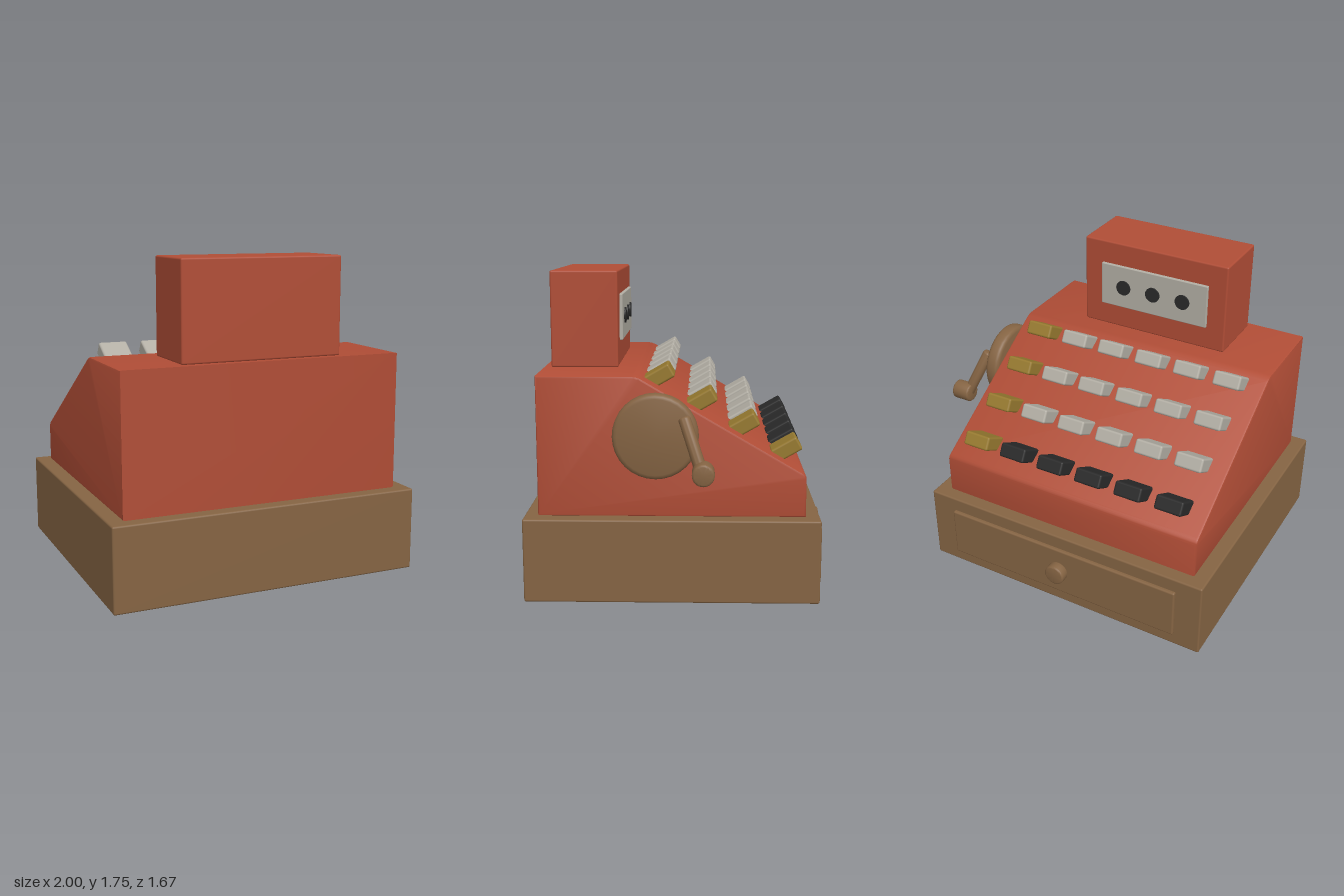
import * as THREE from 'three';
import { RoundedBoxGeometry } from 'three/addons/geometries/RoundedBoxGeometry.js';
import { toCreasedNormals } from 'three/addons/utils/BufferGeometryUtils.js';

const material = (name, color) => {
  const m = new THREE.MeshStandardMaterial({ color });
  m.name = name;
  return m;
};

export function createModel() {
  const red = material('red enamel', 0xb04d36);
  const wood = material('brown wood', 0x856443);
  const silver = material('pale grey', 0xb2aea4);
  const gold = material('gold', 0x977a30);
  const black = material('black', 0x2a2a2a);
  const model = new THREE.Group();
  model.name = 'cashRegister';

  const add = (name, geometry, mat, x = 0, y = 0, z = 0) => {
    const mesh = new THREE.Mesh(geometry, mat);
    mesh.name = name;
    mesh.position.set(x, y, z);
    model.add(mesh);
    return mesh;
  };
  // Rounded box given by its extents
  const box = (name, mat, [x0, x1], [y0, y1], [z0, z1], r = 0.01) =>
    add(name, new RoundedBoxGeometry(x1 - x0, y1 - y0, z1 - z0, 2, r), mat,
      (x0 + x1) / 2, (y0 + y1) / 2, (z0 + z1) / 2);
  // Disc with softened rims, turned about the y axis
  const disc = (radius, height, bevel) => {
    const h = height / 2;
    const pts = [new THREE.Vector2(0, -h)];
    for (const [side, start] of [[-1, -Math.PI / 2], [1, 0]]) {
      for (let i = 0; i <= 3; i++) {
        const a = start + (i / 3) * Math.PI / 2;
        pts.push(new THREE.Vector2(radius - bevel + Math.cos(a) * bevel, side * (h - bevel) + Math.sin(a) * bevel));
      }
    }
    pts.push(new THREE.Vector2(0, h));
    return toCreasedNormals(new THREE.LatheGeometry(pts, 32), 0.6);
  };

  // Wooden base with drawer
  box('base', wood, [-1, 0.75], [0, 0.46], [-0.762, 0.832]);
  box('drawerFront', wood, [-0.85, 0.595], [0.08, 0.38], [-0.783, -0.755]);
  add('drawerKnob', disc(0.06, 0.06, 0.01).rotateX(Math.PI / 2), wood, -0.127, 0.235, -0.806);

  // Wedge-shaped body: side profile extruded across the width
  const bevel = 0.012;
  const profile = new THREE.Shape();
  profile.moveTo(-0.757, 0.46);
  profile.lineTo(0.685, 0.46);
  profile.lineTo(0.685, 0.67);
  profile.quadraticCurveTo(0.685, 0.69, 0.66, 0.704);
  profile.lineTo(-0.19, 1.204);
  profile.quadraticCurveTo(-0.217, 1.22, -0.245, 1.22);
  profile.lineTo(-0.757, 1.22);
  profile.closePath();
  const bodyGeometry = new THREE.ExtrudeGeometry(profile, {
    depth: 1.594 - 2 * bevel, bevelThickness: bevel, bevelSize: bevel, bevelOffset: -bevel,
    bevelSegments: 2, curveSegments: 4,
  });
  bodyGeometry.rotateY(Math.PI / 2);
  add('body', toCreasedNormals(bodyGeometry, 0.6), red, -0.922 + bevel, 0, 0);

  // Display housing, plate and dials
  box('displayHousing', red, [-0.582, 0.33], [1.22, 1.755], [0.343, 0.717]);
  box('displayPlate', silver, [-0.47, 0.212], [1.36, 1.62], [0.325, 0.355], 0.005);
  for (let i = 0; i < 3; i++) {
    add('displayDial', new THREE.CylinderGeometry(0.045, 0.045, 0.02, 24).rotateX(Math.PI / 2),
      black, -0.318 + i * 0.191, 1.49, 0.326);
  }

  // Four rows of tilted keys
  const keyGeometry = new RoundedBoxGeometry(0.16, 0.08, 0.16, 2, 0.012);
  for (let row = 0; row < 4; row++) {
    for (let col = 0; col < 6; col++) {
      const mat = col === 5 ? gold : row === 3 ? black : silver;
      const key = add('key', keyGeometry, mat, -0.735 + col * 0.2433, 1.2 - row * 0.132, 0.107 - row * 0.23);
      key.rotation.x = Math.PI / 6;
    }
  }

  // Side crank: wheel, slanted arm and handle
  add('crankWheel', disc(0.227, 0.09, 0.025).rotateZ(Math.PI / 2), wood, 0.75, 0.918, 0.117);
  const top = new THREE.Vector3(0.815, 1.015, -0.038);
  const bottom = new THREE.Vector3(0.915, 0.765, -0.125);
  const along = bottom.clone().sub(top);
  const arm = add('crankArm', disc(0.033, along.length() + 0.03, 0.012), wood);
  arm.position.copy(top).add(bottom).multiplyScalar(0.5);
  arm.quaternion.setFromUnitVectors(new THREE.Vector3(0, 1, 0), along.normalize());
  add('crankHandle', disc(0.058, 0.115, 0.012).rotateZ(Math.PI / 2), wood, 0.942, 0.765, -0.134);

  return model;
}
